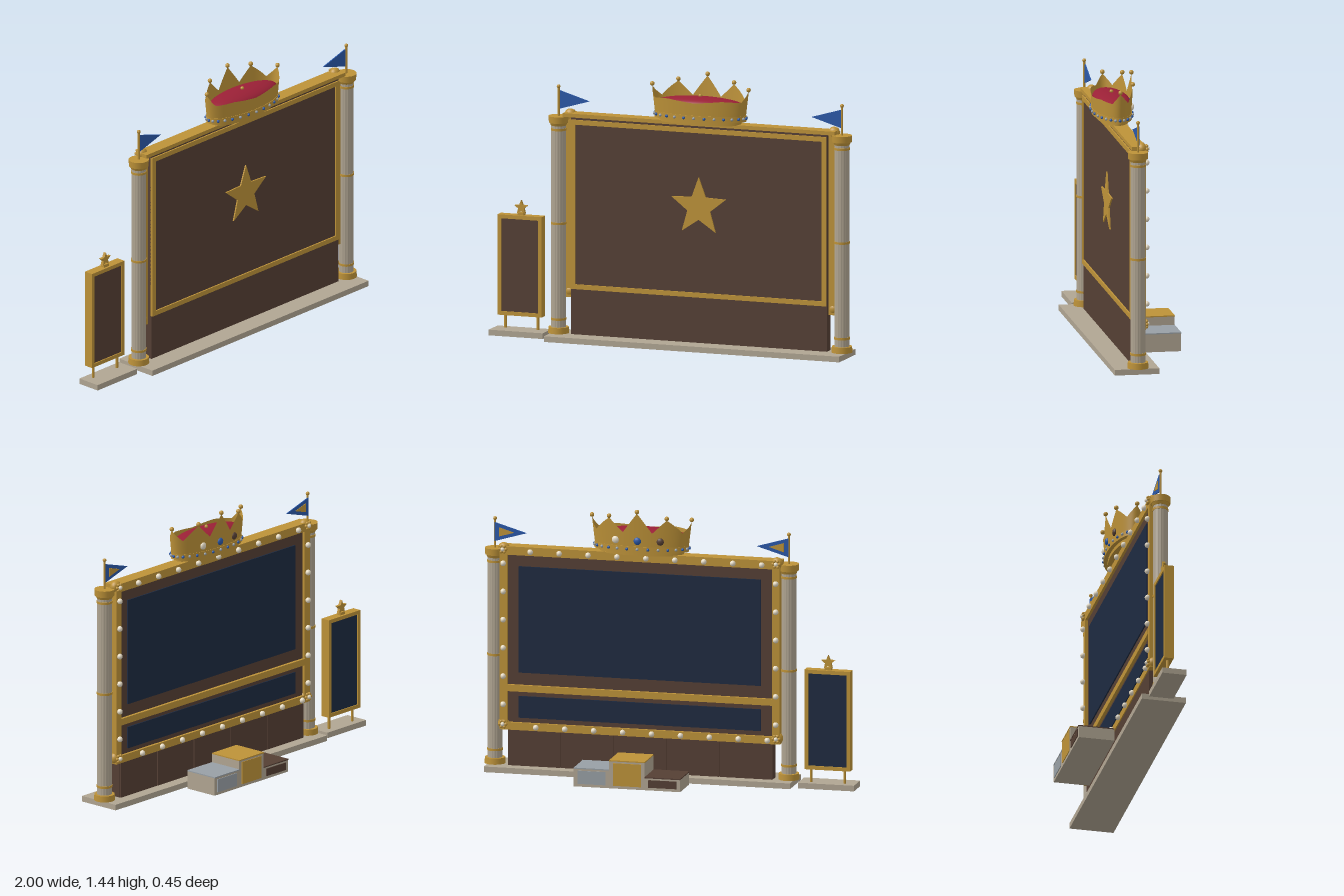
import * as THREE from 'three';

const mat = (name, color, extra = {}) => new THREE.MeshStandardMaterial({ name, color, ...extra });

export function createModel() {
  const gold = mat('gold', 0xbd9238);
  const goldSheet = mat('gold', 0xbd9238, { side: THREE.DoubleSide });
  const brown = mat('dark wood', 0x553f34);
  const stone = mat('stone', 0xb0a592);
  const navy = mat('screen navy', 0x1d2a40);
  const red = mat('velvet red', 0x9a2036);
  const blue = mat('flag blue', 0x2a58a8);
  const silver = mat('silver', 0x989fa5);
  const cream = mat('bulb cream', 0xe6dcc6);

  const model = new THREE.Group();
  model.name = 'stageBoard';
  const CX = 0.155; // centre of the large board

  const add = (name, geo, m, x = 0, y = 0, z = 0) => {
    const mesh = new THREE.Mesh(geo, m);
    mesh.name = name;
    mesh.position.set(x, y, z);
    model.add(mesh);
    return mesh;
  };
  // Box given by its extents
  const box = (name, m, x0, x1, y0, y1, z0, z1) =>
    add(name, new THREE.BoxGeometry(x1 - x0, y1 - y0, z1 - z0), m, (x0 + x1) / 2, (y0 + y1) / 2, (z0 + z1) / 2);
  // Rectangular frame of four bars, w wide
  const frame = (name, m, x0, x1, y0, y1, z0, z1, w) => {
    box(name, m, x0, x0 + w, y0, y1, z0, z1);
    box(name, m, x1 - w, x1, y0, y1, z0, z1);
    box(name, m, x0 + w, x1 - w, y0, y0 + w, z0, z1);
    box(name, m, x0 + w, x1 - w, y1 - w, y1, z0, z1);
  };
  const ball = (name, m, r, x, y, z) => add(name, new THREE.SphereGeometry(r, 12, 8), m, x, y, z);
  const drum = (name, m, r0, r1, y0, y1, x, z, n = 24) =>
    add(name, new THREE.CylinderGeometry(r1, r0, y1 - y0, n), m, x, (y0 + y1) / 2, z);
  const plate = (points, depth) =>
    new THREE.ExtrudeGeometry(new THREE.Shape(points.map(p => new THREE.Vector2(...p))), { depth, bevelEnabled: false });
  const star = (R, r, depth) => plate(Array.from({ length: 10 }, (_, i) => {
    const a = i * Math.PI / 5, q = i % 2 ? r : R;
    return [q * Math.sin(a), q * Math.cos(a)];
  }), depth);

  // Platform and wall
  box('platform', stone, -0.665, 0.975, 0, 0.03, -0.01, 0.225);
  box('wall', brown, -0.555, 0.865, 0.03, 1.175, 0.062, 0.115);
  for (let i = 0; i < 5; i++)
    box('skirtPanel', brown, -0.553 + i * 0.284, -0.275 + i * 0.284, 0.03, 0.225, 0.054, 0.063);

  // Front trim and star
  frame('frontTrim', gold, -0.555, 0.862, 0.27, 1.163, 0.11, 0.123, 0.025);
  add('frontStar', star(0.159, 0.066, 0.009), gold, CX, 0.747, 0.114);

  // Rear frame, top beam and screens
  frame('rearFrame', gold, -0.595, 0.905, 0.22, 1.19, 0.048, 0.09, 0.04);
  box('topBeam', gold, -0.6, 0.91, 1.175, 1.195, 0.048, 0.123);
  box('mainScreen', navy, -0.49, 0.805, 0.525, 1.09, 0.055, 0.063);
  box('lowerScreen', navy, -0.49, 0.805, 0.285, 0.4, 0.055, 0.063);
  box('screenDivider', gold, -0.555, 0.865, 0.425, 0.46, 0.046, 0.065);

  // Bulbs around the rear frame
  for (let i = 0; i < 6; i++) {
    ball('bulb', cream, 0.015, 0.885, 1.105 - i * 0.15, 0.041);
    ball('bulb', cream, 0.015, -0.575, 1.075 - i * 0.15, 0.041);
  }
  for (let i = 0; i < 9; i++) {
    ball('bulb', cream, 0.015, -0.5 + i * 0.155, 1.172, 0.041);
    ball('bulb', cream, 0.015, -0.53 + i * 0.155, 0.24, 0.041);
  }

  // Corner rosettes
  for (const x of [-0.577, 0.887]) for (const y of [1.18, 0.25]) {
    add('cornerBoss', new THREE.SphereGeometry(0.032, 20, 12), gold, x, y, 0.068).scale.z = 0.85;
    ball('rosetteCentre', cream, 0.011, x, y, 0.036);
    for (let k = 0; k < 6; k++) {
      const a = k * Math.PI / 3;
      ball('rosettePetal', gold, 0.008, x + 0.017 * Math.cos(a), y + 0.017 * Math.sin(a), 0.042);
    }
  }

  // Columns and flags
  for (const s of [-1, 1]) {
    const x = CX + s * 0.787, z = 0.097;
    const shaft = new THREE.CylinderGeometry(0.039, 0.039, 1.1, 64, 1);
    const p = shaft.attributes.position;
    for (let i = 0; i < p.count; i++) { // shallow flutes
      const k = 1 - 0.025 * (1 + Math.cos(16 * Math.atan2(p.getZ(i), p.getX(i))));
      p.setX(i, p.getX(i) * k);
      p.setZ(i, p.getZ(i) * k);
    }
    shaft.computeVertexNormals();
    add('columnShaft', shaft, stone, x, 0.59, z);
    drum('columnBase', gold, 0.055, 0.053, 0.03, 0.062, x, z);
    drum('columnCapNeck', gold, 0.04, 0.048, 1.125, 1.142, x, z);
    drum('columnCap', gold, 0.051, 0.053, 1.14, 1.175, x, z);
    for (const y of [0.105, 0.61, 1.105]) drum('columnRing', gold, 0.041, 0.041, y - 0.006, y + 0.006, x, z);
    drum('flagPole', gold, 0.006, 0.006, 1.175, 1.33, x, z, 10);
    ball('flagPoleKnob', gold, 0.01, x, 1.33, z);
    add('flag', plate([[0, 0.05], [-s * 0.17, 0], [0, -0.05]], 0.006), blue, x, 1.26, z - 0.008);
    add('flagInset', plate([[-s * 0.025, 0.024], [-s * 0.105, 0], [-s * 0.025, -0.024]], 0.003), gold, x, 1.26, z - 0.011);
  }

  // Crown: wall with five points at the rear and a low front rim
  const CZ = 0.095;
  const rim = [[0, 1.42], [17.5, 1.315], [35, 1.388], [62.5, 1.315], [90, 1.37], [112.5, 1.315], [145, 1.322], [180, 1.307]];
  const rimAt = deg => {
    const i = Math.max(1, rim.findIndex(q => q[0] >= deg - 1e-4));
    const [a, ya] = rim[i - 1], [b, yb] = rim[i];
    return ya + (yb - ya) * (deg - a) / (b - a);
  };
  const radii = y => [0.247 + (y - 1.21) * 0.12, 0.094 + (y - 1.21) * 0.05];
  const crownGeo = new THREE.CylinderGeometry(1, 1, 1, 144, 1, true);
  const cp = crownGeo.attributes.position;
  for (let i = 0; i < cp.count; i++) {
    const x = cp.getX(i), z = cp.getZ(i);
    const deg = Math.min(180, Math.atan2(Math.abs(x), -z) * 180 / Math.PI);
    const y = cp.getY(i) > 0 ? rimAt(deg) : 1.21;
    const [a, b] = radii(y);
    cp.setXYZ(i, x * a, y, z * b);
  }
  crownGeo.computeVertexNormals();
  add('crownWall', crownGeo, goldSheet, CX, 0, CZ);
  const oval = (name, m, a, b, y0, y1) => drum(name, m, 1, 1, y0, y1, CX, CZ, 64).scale.set(a, 1, b);
  oval('crownFoot', gold, 0.225, 0.078, 1.19, 1.212);
  oval('crownBand', gold, 0.252, 0.099, 1.21, 1.242);
  add('crownLining', new THREE.SphereGeometry(1, 40, 20), red, CX, 1.288, CZ).scale.set(0.243, 0.04, 0.092);
  ball('liningButton', gold, 0.01, CX, 1.332, CZ);
  for (const d of [-90, -35, 0, 35, 90]) {
    const y = rimAt(Math.abs(d)) + 0.009, [a, b] = radii(y), t = d * Math.PI / 180;
    ball('crownPearl', gold, 0.012, CX + a * Math.sin(t), y, CZ - b * Math.cos(t));
  }
  for (let i = 0; i < 28; i++) {
    const t = i * Math.PI / 14;
    ball('bandBead', i % 2 ? blue : silver, 0.008, CX + 0.254 * Math.sin(t), 1.228, CZ - 0.101 * Math.cos(t));
  }
  [[-28, brown], [0, blue], [28, cream]].forEach(([d, m]) => {
    const y = 1.272, [a, b] = radii(y), t = d * Math.PI / 180;
    ball('crownGem', m, 0.02, CX + a * Math.sin(t), y, CZ - b * Math.cos(t)).scale.z = 0.6;
  });

  // Winners' podium: stone blocks with coloured tops and face plates
  [[-0.13, 0.07, brown], [0.06, 0.15, gold], [0.25, 0.1, silver]].forEach(([x, h, m]) => {
    box('podiumBlock', stone, x, x + 0.19, 0, h - 0.006, -0.22, -0.03);
    box('podiumTop', m, x, x + 0.19, h - 0.006, h, -0.222, -0.03);
    box('podiumPlate', m, x + 0.02, x + 0.17, 0.015, h - 0.015, -0.224, -0.219);
  });

  // Small side sign
  box('signBase', stone, -1, -0.7, 0, 0.03, 0.02, 0.15);
  for (const x of [-0.94, -0.76]) drum('signPost', gold, 0.007, 0.007, 0.03, 0.105, x, 0.062, 10);
  frame('signFrame', gold, -0.975, -0.73, 0.1, 0.63, 0.037, 0.087, 0.02);
  box('signPanel', brown, -0.956, -0.749, 0.119, 0.611, 0.05, 0.081);
  box('signScreen', navy, -0.956, -0.749, 0.119, 0.611, 0.043, 0.05);
  box('signStarFoot', gold, -0.87, -0.835, 0.63, 0.645, 0.05, 0.075);
  add('signStar', star(0.038, 0.017, 0.016), gold, -0.852, 0.67, 0.054);

  return model;
}
